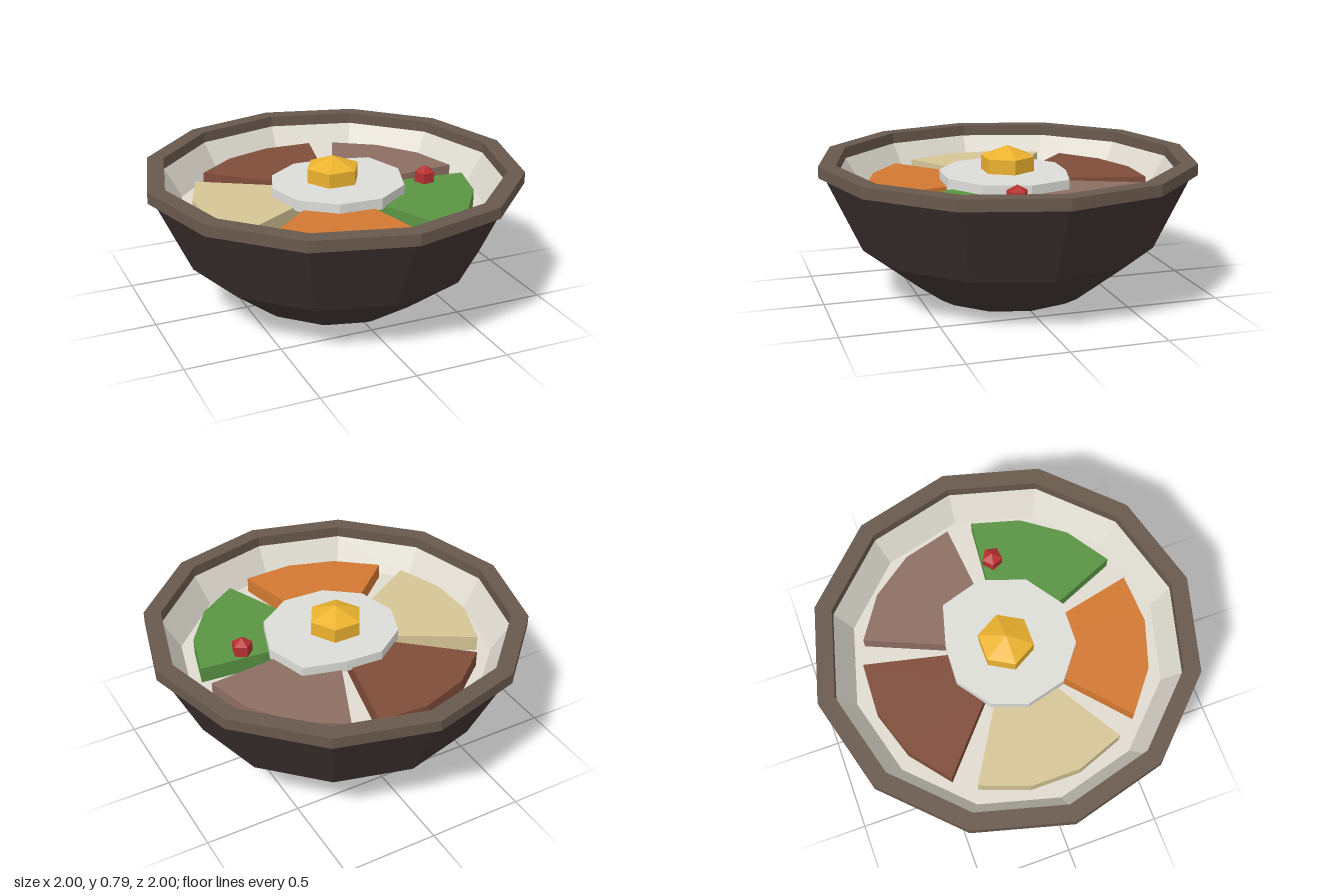
import * as THREE from 'three';

const SIDES = 12;
const FILLING_TOP = 0.52;

function mesh(name, geometry, color) {
  const m = new THREE.Mesh(geometry, new THREE.MeshStandardMaterial({ color, flatShading: true }));
  m.name = name;
  return m;
}

// Faceted surface of revolution from [radius, height] pairs
function lathe(name, points, color) {
  const profile = points.map(([r, y]) => new THREE.Vector2(r, y));
  return mesh(name, new THREE.LatheGeometry(profile, SIDES), color);
}

// Flat slab standing from y = bottom, outline given as [x, z] pairs
function slab(name, outline, bottom, height, color) {
  const shape = new THREE.Shape(outline.map(([x, z]) => new THREE.Vector2(x, -z)));
  const geometry = new THREE.ExtrudeGeometry(shape, { depth: height, bevelEnabled: false });
  geometry.rotateX(-Math.PI / 2).translate(0, bottom, 0);
  return mesh(name, geometry, color);
}

// Ring sector outline centred on an angle, with a three-segment outer arc
function wedge(centreDeg) {
  const inner = 0.22, outer = 0.745, spread = 61.6;
  const at = (r, t) => {
    const a = THREE.MathUtils.degToRad(centreDeg + (t - 0.5) * spread);
    return [r * Math.cos(a), -r * Math.sin(a)];
  };
  const steps = [0, 1 / 3, 2 / 3, 1];
  return [...steps.map(t => at(outer, t)), ...steps.reverse().map(t => at(inner, t))];
}

export function createModel() {
  const group = new THREE.Group();
  group.name = 'riceBowl';

  // Bowl: dark outer shell, square-cut rim and pale lining
  group.add(lathe('bowlShell', [[0, 0], [0.41, 0], [0.49, 0.045], [0.785, 0.275], [0.97, 0.675]], 0x3e3330));
  group.add(lathe('rim', [[0.91, 0.675], [1, 0.675], [1, 0.735], [0.91, 0.735], [0.91, 0.675]], 0x69594d));
  group.add(lathe('lining', [[0.91, 0.675], [0.82, FILLING_TOP]], 0xdfdbd0));

  // Rice filling
  group.add(lathe('rice', [[0.82, FILLING_TOP], [0, FILLING_TOP]], 0xdfdbd0));

  // Five wedge toppings arranged around the centre
  const toppings = [
    ['mushroomTopping', 0x8d6e63],
    ['meatTopping', 0x804d3a],
    ['sproutTopping', 0xd4c596],
    ['carrotTopping', 0xd27832],
    ['spinachTopping', 0x5a9444],
  ];
  toppings.forEach(([name, color], i) => {
    group.add(slab(name, wedge(36 + 72 * i), FILLING_TOP, 0.085, color));
  });

  // Fried egg: uneven white with a domed yolk
  const white = [
    [0.39, -0.01], [0.32, -0.235], [0.1, -0.295], [-0.1, -0.305], [-0.275, -0.18],
    [-0.34, 0], [-0.285, 0.21], [-0.11, 0.345], [0.12, 0.355], [0.31, 0.225],
  ];
  group.add(slab('eggWhite', white, 0.595, 0.06, 0xdcddd7));
  const yolk = mesh('eggYolk', new THREE.SphereGeometry(0.167, 6, 3), 0xebb22e);
  yolk.scale.y = 0.68;
  yolk.position.y = 0.675;
  group.add(yolk);

  // Small red garnish on the greens
  const garnish = mesh('garnish', new THREE.SphereGeometry(0.063, 5, 3), 0xb73030);
  garnish.position.set(0.495, 0.63, 0.1);
  garnish.rotation.y = Math.PI / 2 + 0.1;
  garnish.rotation.y = -Math.PI / 2 + 0.1;
  group.add(garnish);

  return group;
}
